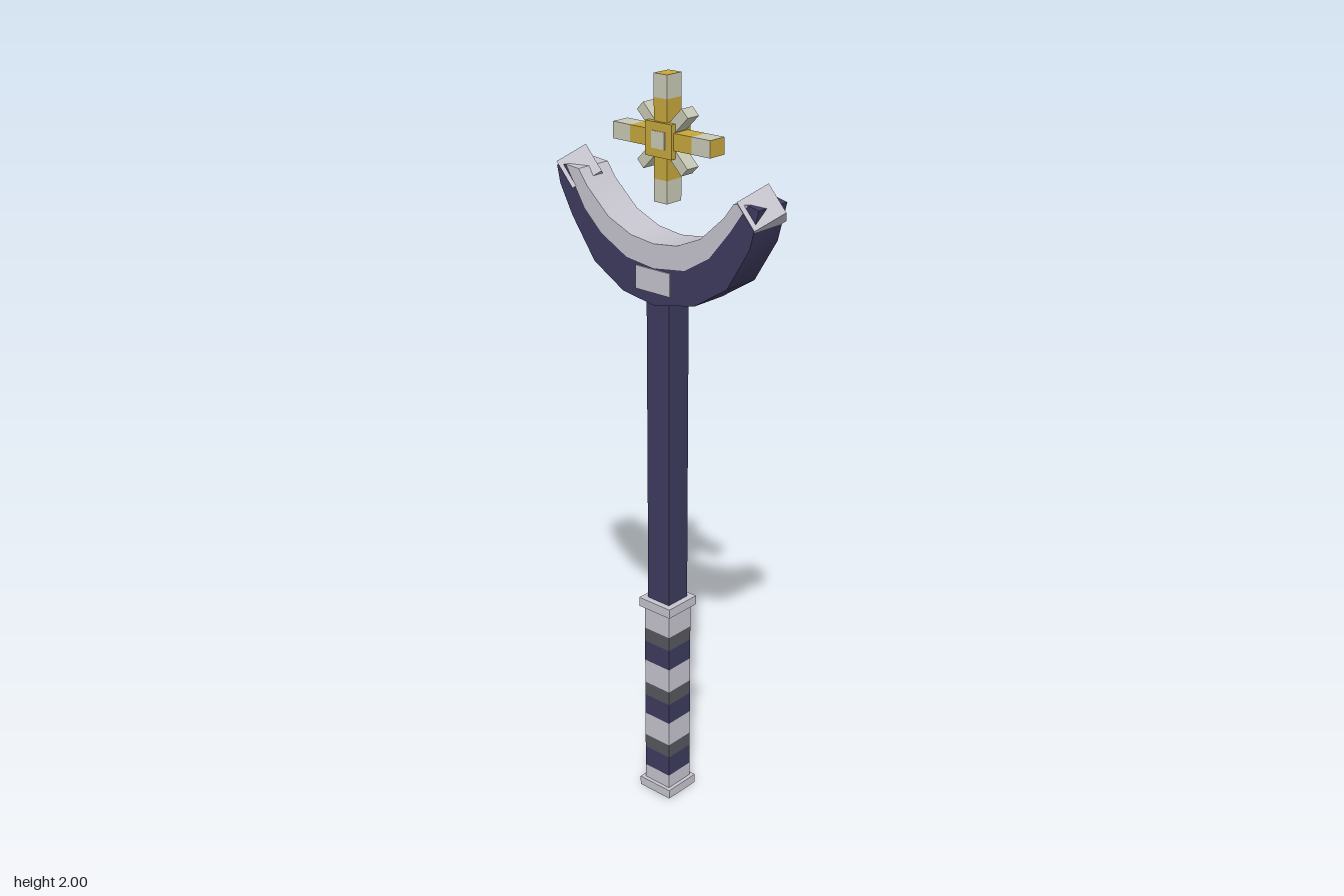
import * as THREE from 'three';
import { toCreasedNormals } from 'three/addons/utils/BufferGeometryUtils.js';

const mat = (name, color) => {
  const m = new THREE.MeshStandardMaterial({ color });
  m.name = name;
  return m;
};

export function createModel() {
  const silver = mat('silver', 0xc6c4ce);
  const navy = mat('navy', 0x3d3b5e);
  const slate = mat('slate', 0x56575f);
  const gold = mat('gold', 0xc6a63c);
  const ivory = mat('ivory', 0xc8c9b4);

  const root = new THREE.Group();
  root.name = 'crescentStaff';

  const add = (name, geometry, material, parent = root) => {
    const mesh = new THREE.Mesh(geometry, material);
    mesh.name = name;
    parent.add(mesh);
    return mesh;
  };
  // Square bar standing between two heights
  const post = (name, width, y0, y1, material, depth = width, parent = root) => {
    const g = new THREE.BoxGeometry(width, y1 - y0, depth).translate(0, (y0 + y1) / 2, 0);
    return add(name, g, material, parent);
  };

  // Shaft, pommel and collar
  post('shaft', 0.074, 0.59, 1.47, navy);
  post('pommel', 0.108, 0, 0.026, [silver, silver, silver, navy, silver, silver]);
  post('collar', 0.108, 0.574, 0.6, silver);

  // Striped grip
  const grip = new THREE.Group();
  grip.name = 'grip';
  root.add(grip);
  const gripW = 0.087;
  let y = 0.026;
  for (const start of [0.066, 0.236, 0.406]) {
    post('gripBand', gripW, y, start, silver, gripW, grip);
    post('gripNavyStripe', gripW, start, start + 0.06, navy, gripW, grip);
    post('gripSlateStripe', gripW, start + 0.06, start + 0.1, slate, gripW, grip);
    y = start + 0.1;
  }
  post('gripBand', gripW, y, 0.574, silver, gripW, grip);

  // Crescent: outer navy band and inner silver band share the middle line
  const outer = [[-0.325, 1.735], [-0.315, 1.69], [-0.275, 1.615], [-0.2, 1.51], [-0.102, 1.453], [0, 1.437],
    [0.132, 1.463], [0.233, 1.527], [0.3, 1.638], [0.325, 1.735]];
  const middle = [[-0.292, 1.742], [-0.23, 1.64], [-0.175, 1.588], [-0.09, 1.543], [0, 1.532],
    [0.1, 1.546], [0.178, 1.593], [0.24, 1.668], [0.292, 1.742]];
  const inner = [[-0.25, 1.738], [-0.222, 1.7], [-0.15, 1.635], [-0.075, 1.603], [0, 1.594],
    [0.075, 1.603], [0.15, 1.635], [0.222, 1.7], [0.25, 1.738]];
  const depth = 0.105;
  const band = (name, lower, upper, material) => {
    const pts = [...lower, ...[...upper].reverse()].map(p => new THREE.Vector2(...p));
    const g = new THREE.ExtrudeGeometry(new THREE.Shape(pts), { depth, bevelEnabled: false });
    g.translate(0, 0, -depth / 2);
    add(name, toCreasedNormals(g, 0.7), material);
  };
  band('crescentOuter', outer, middle, navy);
  band('crescentInner', middle, inner, silver);

  // Plate on the front and back of the crescent
  for (const side of [-1, 1]) {
    add('crescentPlate', new THREE.BoxGeometry(0.113, 0.06, 0.006), silver)
      .position.set(0, 1.5, side * 0.053);
  }

  // Cubes on the crescent tips, both turned the same way
  for (const side of [-1, 1]) {
    const g = new THREE.BoxGeometry(0.085, 0.08, 0.085)
      .rotateY(Math.PI / 4).rotateZ(THREE.MathUtils.degToRad(42));
    add('tipCube', g, silver).position.set(side * 0.292, 1.717, 0);
  }

  // Floating star
  const star = new THREE.Group();
  star.name = 'star';
  star.position.y = 1.845;
  root.add(star);
  add('starCore', new THREE.BoxGeometry(0.084, 0.084, 0.068), gold, star);
  add('starCoreInlay', new THREE.BoxGeometry(0.042, 0.042, 0.072), ivory, star);
  for (let i = 0; i < 4; i++) {
    // Long arms: gold root, ivory tip, gold end on the top and left arms
    const arm = new THREE.Group();
    arm.name = 'starArm';
    arm.rotation.z = -i * Math.PI / 2;
    star.add(arm);
    const end = i < 2 ? gold : ivory;
    post('starArmRoot', 0.042, 0.03, 0.098, gold, 0.052, arm);
    post('starArmTip', 0.042, 0.098, 0.155, [ivory, ivory, end, ivory, ivory, ivory], 0.052, arm);
    // Short diagonal rays
    const ray = post('starRay', 0.028, 0.02, 0.1, ivory, 0.04, star);
    ray.rotation.z = Math.PI / 4 - i * Math.PI / 2;
  }

  return root;
}
